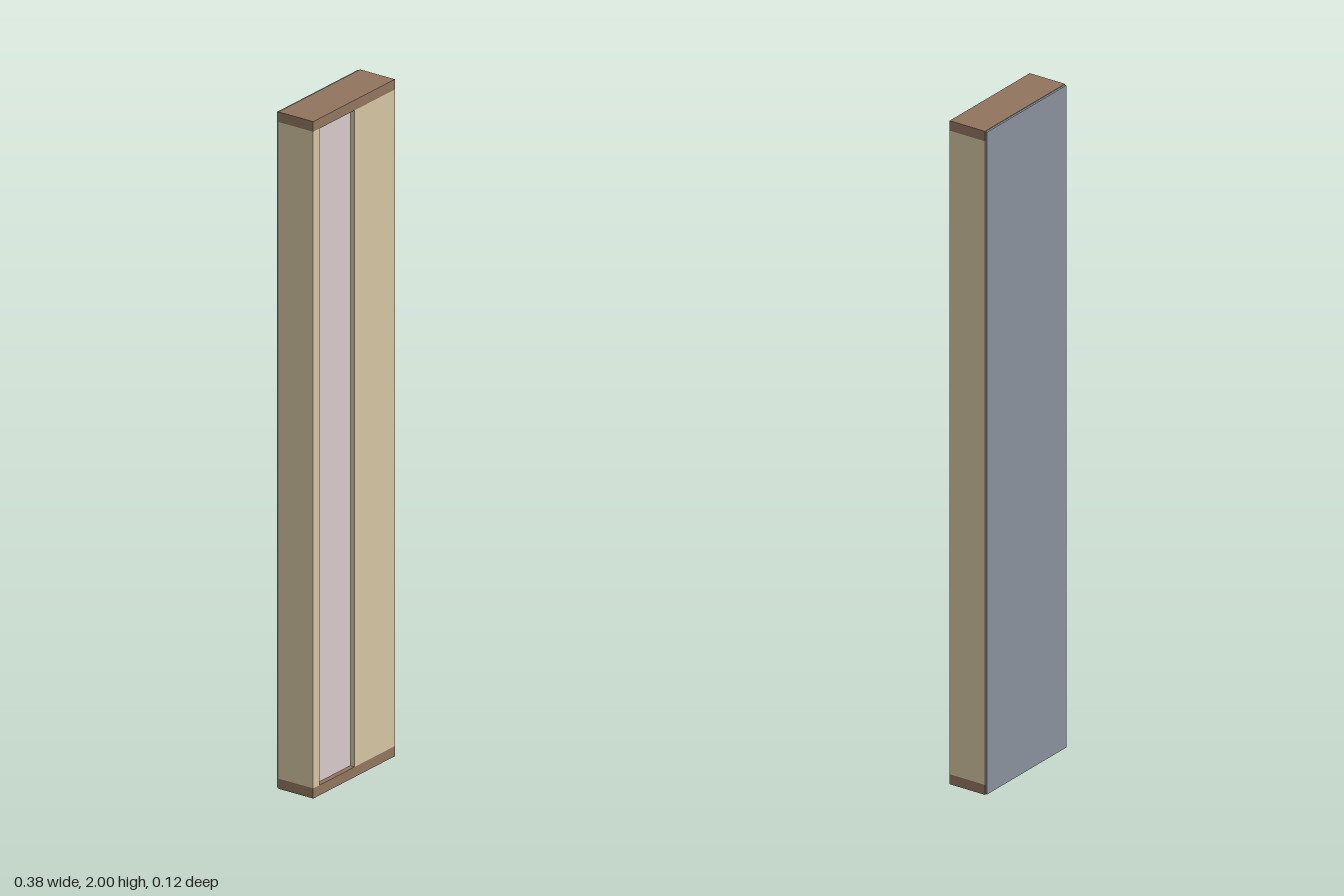
import * as THREE from 'three';

const material = (color) => new THREE.MeshStandardMaterial({ color });

// Box given by its lower and upper limits on each axis
function slab(name, mat, [x0, x1], [y0, y1], [z0, z1]) {
  const mesh = new THREE.Mesh(new THREE.BoxGeometry(x1 - x0, y1 - y0, z1 - z0), mat);
  mesh.name = name;
  mesh.position.set((x0 + x1) / 2, (y0 + y1) / 2, (z0 + z1) / 2);
  return mesh;
}

export function createModel() {
  const group = new THREE.Group();
  group.name = 'wallSection';

  const plateWood = material(0x92765f);
  const studWood = material(0xd6c7a4);
  const insulation = material(0xdacbcc);
  const sheathing = material(0x8a929c);

  const half = 0.188, plate = 0.03;
  const depth = [-0.056, 0.062];
  const inner = [plate, 2 - plate];

  // Horizontal plates closing the frame
  group.add(slab('bottomPlate', plateWood, [-half, half], [0, plate], depth));
  group.add(slab('topPlate', plateWood, [-half, half], [2 - plate, 2], depth));

  // Uprights: a single stud on one side, a wide one on the other
  group.add(slab('narrowStud', studWood, [-half, -0.159], inner, depth));
  group.add(slab('wideStud', studWood, [0.003, half], inner, depth));

  // Insulation set slightly back in the cavity
  group.add(slab('insulation', insulation, [-0.159, 0.003], inner, [depth[0], 0.047]));

  // Thin sheet covering the back
  group.add(slab('backSheathing', sheathing, [-0.186, 0.186], [0.002, 1.998], [-0.062, depth[0]]));

  return group;
}
